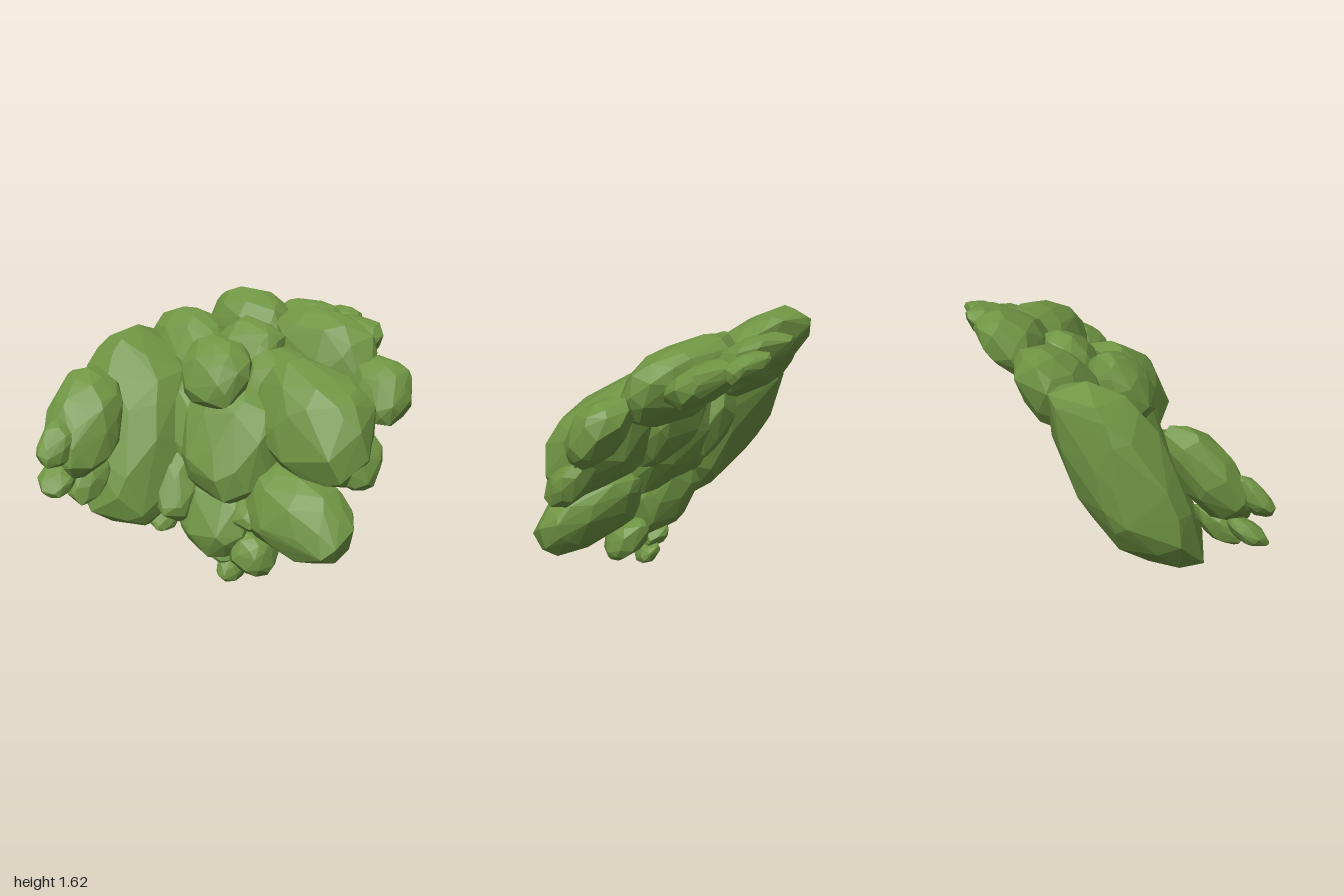
import * as THREE from 'three';
import { ConvexGeometry } from 'three/addons/geometries/ConvexGeometry.js';

function seeded(seed) {
  let s = seed;
  return () => (s = (s * 16807) % 2147483647) / 2147483647;
}

// Pushes a unit coordinate outwards, so that a ball becomes a fuller, boxier boulder
const fuller = (c) => Math.sign(c) * Math.abs(c) ** 0.8;

// Faceted clump: jittered points spiralling over a leaning boulder, wrapped in a hull
function clumpGeometry(width, height, leanSide, leanBack, seed) {
  const rand = seeded(seed);
  const depth = 0.6 * height + 0.11;
  const count = Math.round(35 + 55 * Math.min(0.75, height));
  const upright = Math.sqrt(1 - leanSide ** 2);
  const slope = leanBack / upright;
  const thickness = Math.sqrt(1 - slope ** 2);
  const points = [];
  for (let i = 0; i < count; i++) {
    const h = 1 - (2 * (i + rand())) / count;
    const angle = i * 2.4 + rand() * 0.8;
    const r = Math.sqrt(1 - h * h);
    const size = 0.92 + 0.12 * rand();
    const [x, y, z] = [r * Math.cos(angle), h, r * Math.sin(angle)].map((c) => size * fuller(c));
    points.push(new THREE.Vector3(x, leanSide * x + upright * y, slope * y + thickness * z));
  }
  const size = new THREE.Box3().setFromPoints(points).getSize(new THREE.Vector3());
  points.forEach((p) => p.divide(size).multiply(new THREE.Vector3(width, height, depth)));
  return new ConvexGeometry(points).center();
}

export function createModel() {
  const bush = new THREE.Group();
  bush.name = 'bush';
  const leaf = new THREE.MeshStandardMaterial({ color: 0x6f9443, flatShading: true });
  let seed = 1013;

  // A family of clumps shares one lean; each clump is [x, y, z, width, height]
  function grow(family, leanSide, leanBack, clumps) {
    const group = new THREE.Group();
    group.name = family;
    for (const [name, [x, y, z, width, height]] of Object.entries(clumps)) {
      const mesh = new THREE.Mesh(clumpGeometry(width, height, leanSide, leanBack, (seed += 7919)), leaf);
      mesh.name = name;
      mesh.position.set(x, y, z);
      group.add(mesh);
    }
    bush.add(group);
  }

  // Tall slab on the front side, with a bump and tips growing forward
  grow('sideClumps', -0.4, -0.52, {
    sideSlab: [-0.52, 0.855, 0.27, 0.7, 1.11],
    sideBump: [-0.51, 0.93, 0.66, 0.36, 0.56],
    sideTip: [-0.5, 0.85, 0.88, 0.16, 0.24],
    sideTipLower: [-0.51, 0.65, 0.88, 0.18, 0.18],
    sideTipInner: [-0.45, 0.62, 0.71, 0.15, 0.24],
    slabFoot: [-0.27, 0.36, 0.29, 0.15, 0.18],
    innerFlank: [-0.18, 0.56, 0.24, 0.22, 0.43],
  });

  // Middle of the bush and the crown above it
  grow('middleClumps', -0.25, -0.42, {
    middle: [0.02, 0.81, 0.05, 0.62, 0.68],
    middleFlank: [-0.22, 0.88, 0.02, 0.34, 0.6],
    middleLower: [0.01, 0.4, 0.14, 0.46, 0.48],
    middleGap: [0.24, 0.43, 0.14, 0.23, 0.18],
    middleBack: [0.15, 1.02, -0.2, 0.42, 0.58],
    crownBall: [-0.07, 1.18, 0.06, 0.41, 0.4],
    crownBack: [-0.06, 1.26, -0.24, 0.38, 0.42],
  });

  // Large masses on the other side
  grow('broadClumps', -0.35, -0.35, {
    broadUpper: [0.49, 0.94, -0.13, 0.7, 0.66],
    broadFlank: [0.72, 0.76, -0.16, 0.26, 0.32],
    broadLower: [0.5, 0.47, 0.06, 0.68, 0.48],
  });

  // Upper rows leaning backwards to the tip
  grow('upperClumps', -0.3, -0.4, {
    upperSide: [-0.46, 1.27, -0.16, 0.56, 0.47],
    topSide: [-0.26, 1.42, -0.49, 0.54, 0.4],
    topBroad: [0.29, 1.3, -0.51, 0.67, 0.45],
    broadFar: [0.71, 1.08, -0.47, 0.32, 0.37],
    backSide: [-0.01, 1.44, -0.75, 0.42, 0.21],
    backBroad: [0.32, 1.34, -0.78, 0.35, 0.24],
    backTip: [0.16, 1.42, -0.9, 0.24, 0.16],
  });

  // Small clumps at the foot
  grow('footClumps', -0.4, -0.2, {
    foot: [0.25, 0.2, 0.13, 0.26, 0.26],
    footTip: [0.1, 0.07, 0.14, 0.13, 0.14],
    footSide: [0.04, 0.17, 0.14, 0.17, 0.14],
  });

  return bush;
}
